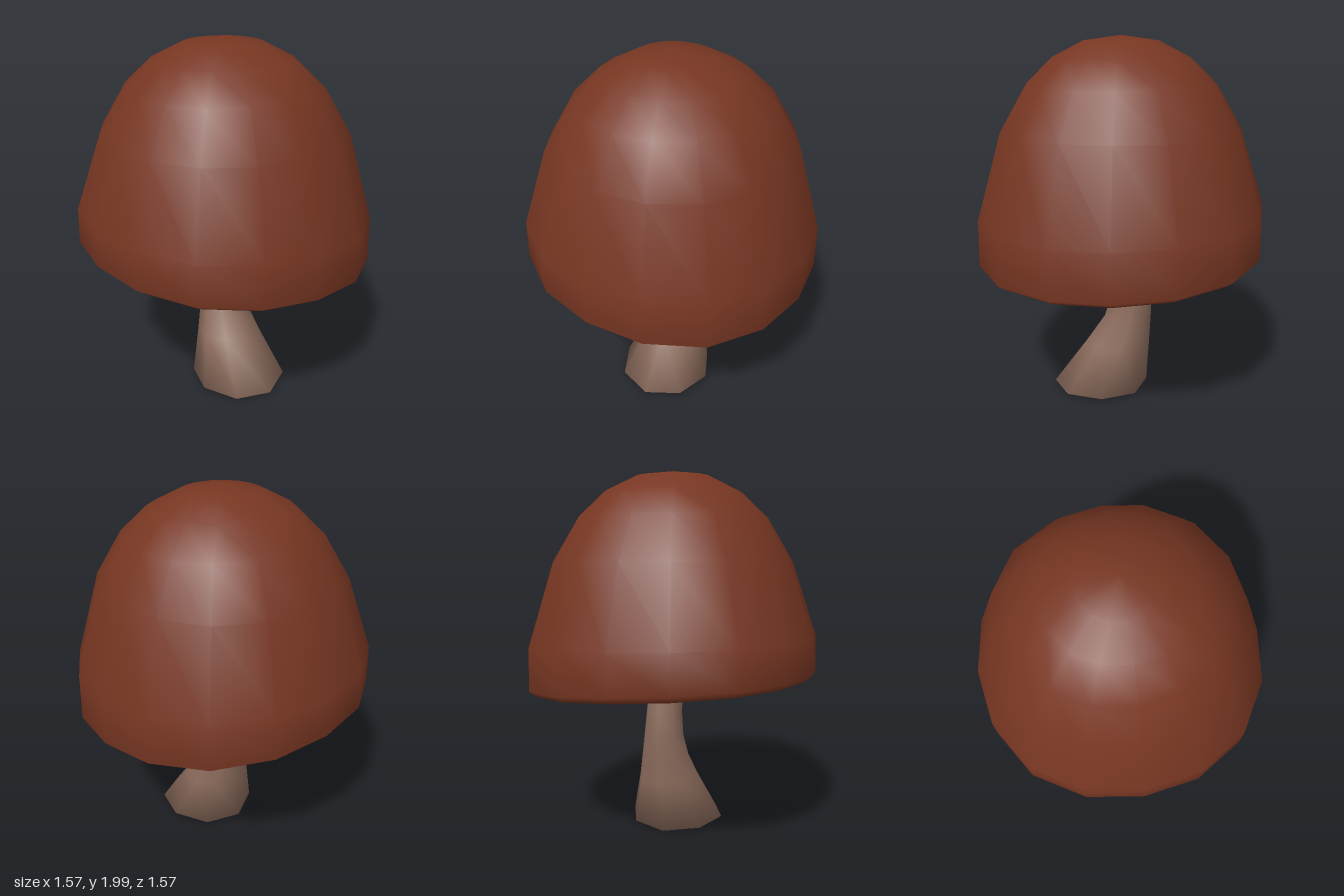
import * as THREE from 'three';
import { mergeVertices } from 'three/addons/utils/BufferGeometryUtils.js';

// Lathe a [radius, height] profile, move every vertex by a rule, weld it and shade it smoothly
function movedLathe(profile, sides, start, rule) {
  const points = profile.map(([r, y]) => new THREE.Vector2(r, y));
  let geo = new THREE.LatheGeometry(points, sides, start);
  const pos = geo.attributes.position;
  const v = new THREE.Vector3();
  for (let i = 0; i < pos.count; i++) {
    v.fromBufferAttribute(pos, i);
    rule(v);
    pos.setXYZ(i, v.x, v.y, v.z);
  }
  geo.deleteAttribute('normal');
  geo.deleteAttribute('uv');
  geo = mergeVertices(geo, 1e-4);
  geo.computeVertexNormals();
  return geo;
}

function makeMesh(name, geometry, color) {
  const mesh = new THREE.Mesh(geometry, new THREE.MeshStandardMaterial({ color }));
  mesh.name = name;
  return mesh;
}

export function createModel() {
  const group = new THREE.Group();
  group.name = 'mushroom';

  // Hollow cap: shallow underside, rounded rim, then outer dome up to the tip
  const capProfile = [
    [0, 1.3], [0.25, 1.25], [0.45, 1.12], [0.59, 0.96], [0.66, 0.865],
    [0.74, 0.828], [0.787, 0.862], [0.782, 1.085], [0.648, 1.515],
    [0.51, 1.75], [0.37, 1.885], [0.2, 1.972], [0, 2],
  ];
  const cap = movedLathe(capProfile, 16, 0, (v) => {
    // Slightly squarish outline, fuller on the diagonals
    const bulge = 1 + 0.033 * Math.sin(2 * Math.atan2(v.z, v.x)) ** 2;
    // The rim leans down to the back left; the lean fades out toward the top
    const lean = THREE.MathUtils.clamp((1.4 - v.y) / 0.55, 0, 1);
    v.y += lean * (-0.04 * v.x + 0.083 * v.z);
    v.x *= bulge;
    v.z *= bulge;
  });
  group.add(makeMesh('cap', cap, 0x773622));

  // Curved stem rings: height, centre x, radius x, centre z, radius z
  const rings = [
    [0.01, 0.118, 0.271, -0.025, 0.27],
    [0.28, 0.012, 0.18, -0.028, 0.18],
    [0.43, -0.042, 0.133, -0.03, 0.138],
    [0.55, -0.062, 0.117, -0.031, 0.115],
    [0.68, -0.062, 0.105, -0.028, 0.104],
    [0.92, -0.028, 0.093, -0.026, 0.098],
    [1.35, 0.01, 0.09, -0.02, 0.092],
  ];
  const last = rings.length - 1;
  const stemProfile = [[0, 0], ...rings.map((_, i) => [1, i]), [0, last]];
  const stem = movedLathe(stemProfile, 8, 0.1, (v) => {
    const [y, cx, rx, cz, rz] = rings[Math.round(v.y)];
    const lift = v.y < 0.5 ? 0.018 * v.z * v.z : 0; // slightly uneven foot
    v.set(cx + v.x * rx, y + lift, cz + v.z * rz);
  });
  group.add(makeMesh('stem', stem, 0x8b6b5c));

  return group;
}
